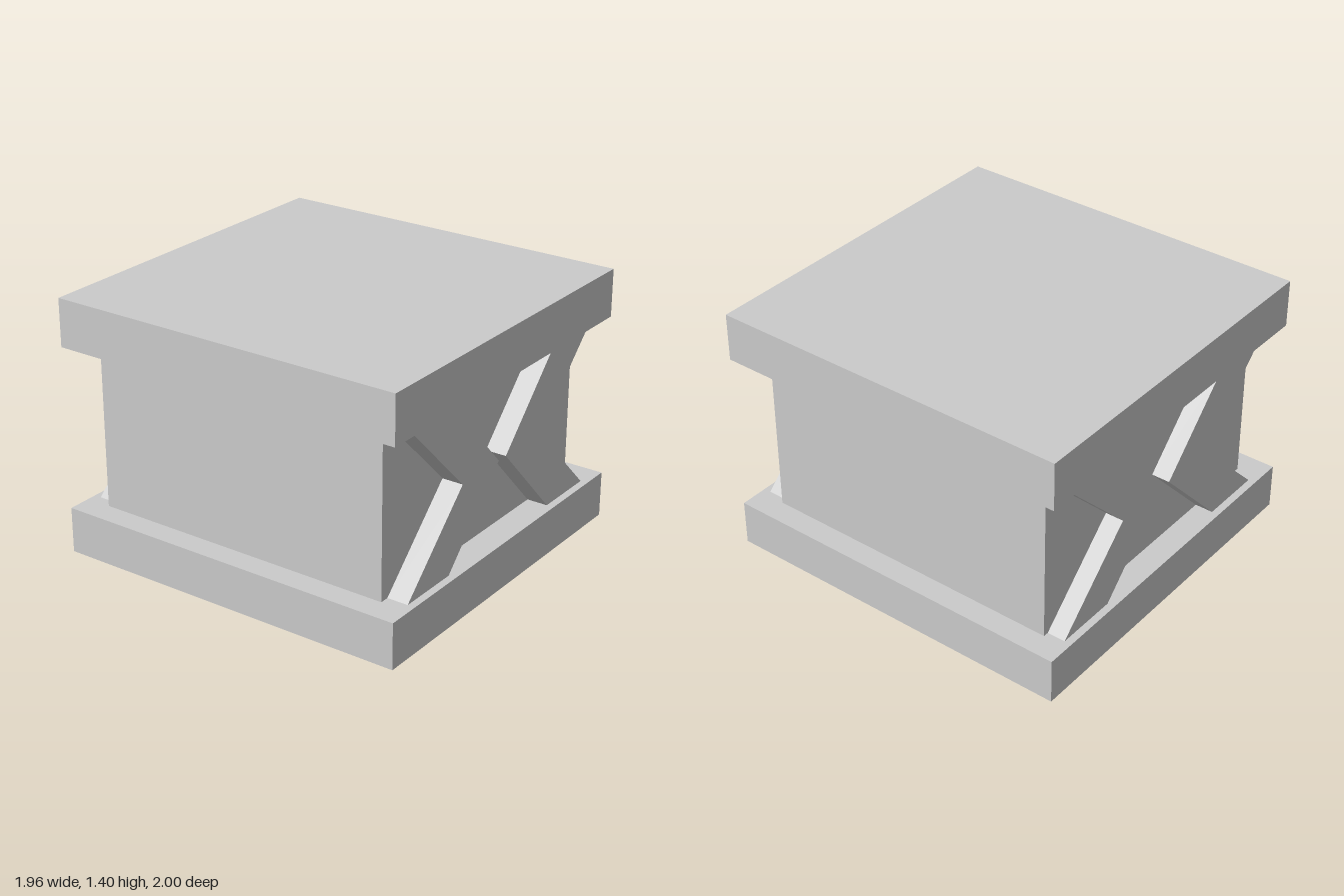
import * as THREE from 'three';

const BASE_TOP = 0.25, LID_BOTTOM = 1.14, HEIGHT = 1.4;
const material = new THREE.MeshStandardMaterial({ color: 0xcccccc, flatShading: true });

function addBox(group, name, [x0, x1], [y0, y1], [z0, z1]) {
  const mesh = new THREE.Mesh(new THREE.BoxGeometry(x1 - x0, y1 - y0, z1 - z0), material);
  mesh.position.set((x0 + x1) / 2, (y0 + y1) / 2, (z0 + z1) / 2);
  mesh.name = name;
  group.add(mesh);
}

// V-shaped band lying on its side: two ends at xEnd, bent at xTip (inner and outer edge)
function addChevron(group, name, xEnd, xTip, [z0, z1]) {
  const mid = (BASE_TOP + LID_BOTTOM) / 2;
  const shape = new THREE.Shape([
    new THREE.Vector2(xEnd[0], BASE_TOP),
    new THREE.Vector2(xEnd[1], BASE_TOP),
    new THREE.Vector2(xTip[1], mid),
    new THREE.Vector2(xEnd[1], LID_BOTTOM),
    new THREE.Vector2(xEnd[0], LID_BOTTOM),
    new THREE.Vector2(xTip[0], mid),
  ]);
  const geometry = new THREE.ExtrudeGeometry(shape, { depth: z1 - z0, bevelEnabled: false });
  const mesh = new THREE.Mesh(geometry, material);
  mesh.position.z = z0;
  mesh.name = name;
  group.add(mesh);
}

export function createModel() {
  const model = new THREE.Group();
  model.name = 'crate';

  // Overhanging slabs and the core between them
  addBox(model, 'baseSlab', [-0.98, 0.98], [0, BASE_TOP], [-1, 1]);
  addBox(model, 'lidSlab', [-0.98, 0.98], [LID_BOTTOM, HEIGHT], [-1, 1]);
  addBox(model, 'core', [-0.85, 0.855], [BASE_TOP, LID_BOTTOM], [-0.86, 0.845]);

  // Raised chevrons on front and back, tips pointing to the middle
  for (const [side, z] of [['front', [0.845, 0.96]], ['back', [-0.96, -0.86]]]) {
    addChevron(model, side + 'RightChevron', [-0.8, -0.45], [-0.345, -0.02], z);
    addChevron(model, side + 'LeftChevron', [0.475, 0.825], [0.045, 0.37], z);
  }
  return model;
}
